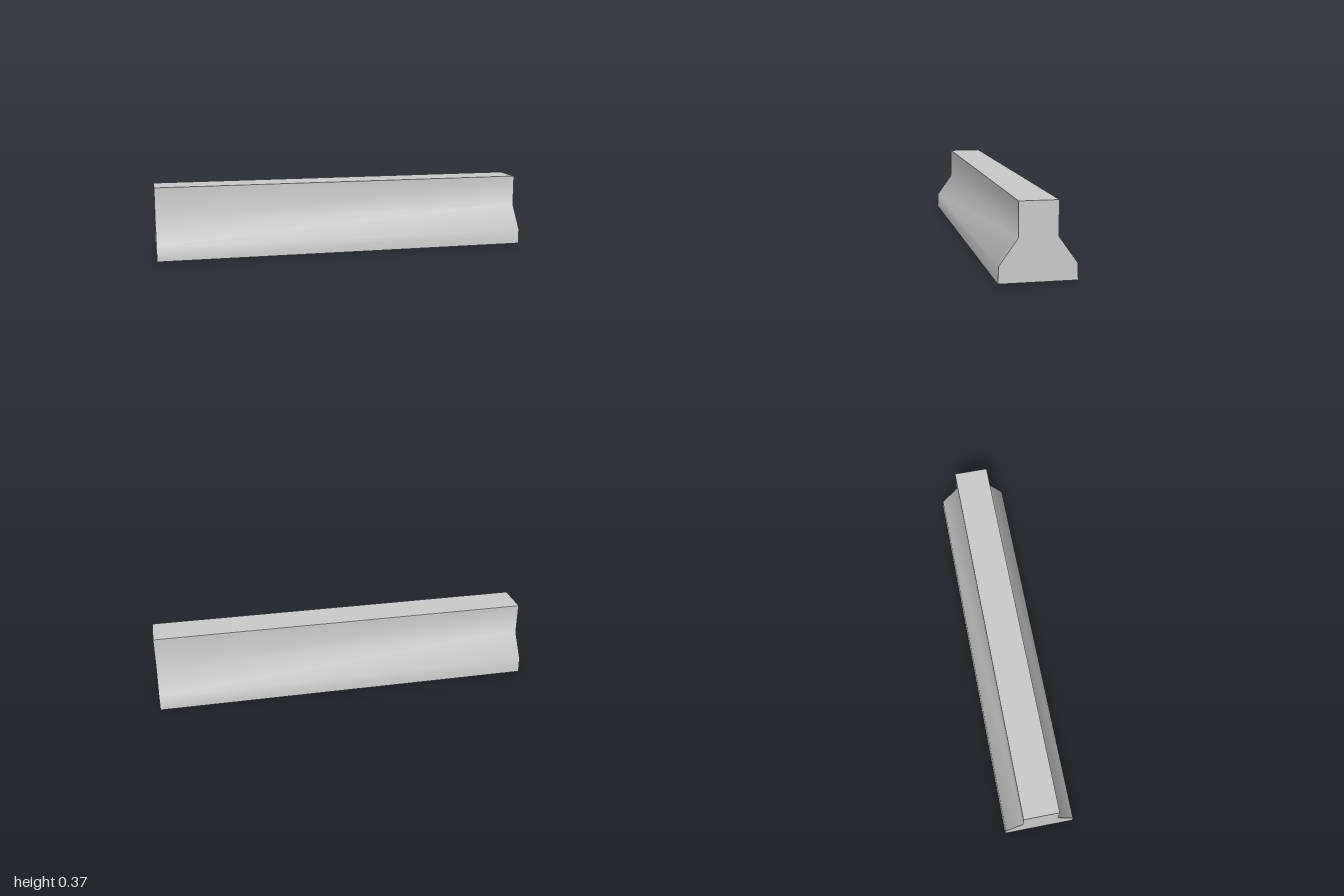
import * as THREE from 'three';
import { toCreasedNormals } from 'three/addons/utils/BufferGeometryUtils.js';

export function createModel() {
  const group = new THREE.Group();
  group.name = 'barrier';

  // Half cross-section (half width, height), from the base up to the top
  const half = [[0.185, 0], [0.181, 0.08], [0.092, 0.205], [0.092, 0.37]];
  const mirrored = half.map(([w, y]) => [-w, y]).reverse();
  const profile = new THREE.Shape([...half, ...mirrored].map(([w, y]) => new THREE.Vector2(w, y)));

  // Sweep the cross-section along x
  const length = 2;
  const extruded = new THREE.ExtrudeGeometry(profile, { depth: length, bevelEnabled: false });
  extruded.translate(0, 0, -length / 2);
  extruded.rotateY(Math.PI / 2);

  // Sloped sides blend smoothly; the ends, top and base stay sharp
  const geometry = toCreasedNormals(extruded, THREE.MathUtils.degToRad(45));
  const body = new THREE.Mesh(geometry, new THREE.MeshStandardMaterial({ color: 0xcccccc }));
  body.name = 'barrierBody';
  group.add(body);

  return group;
}
